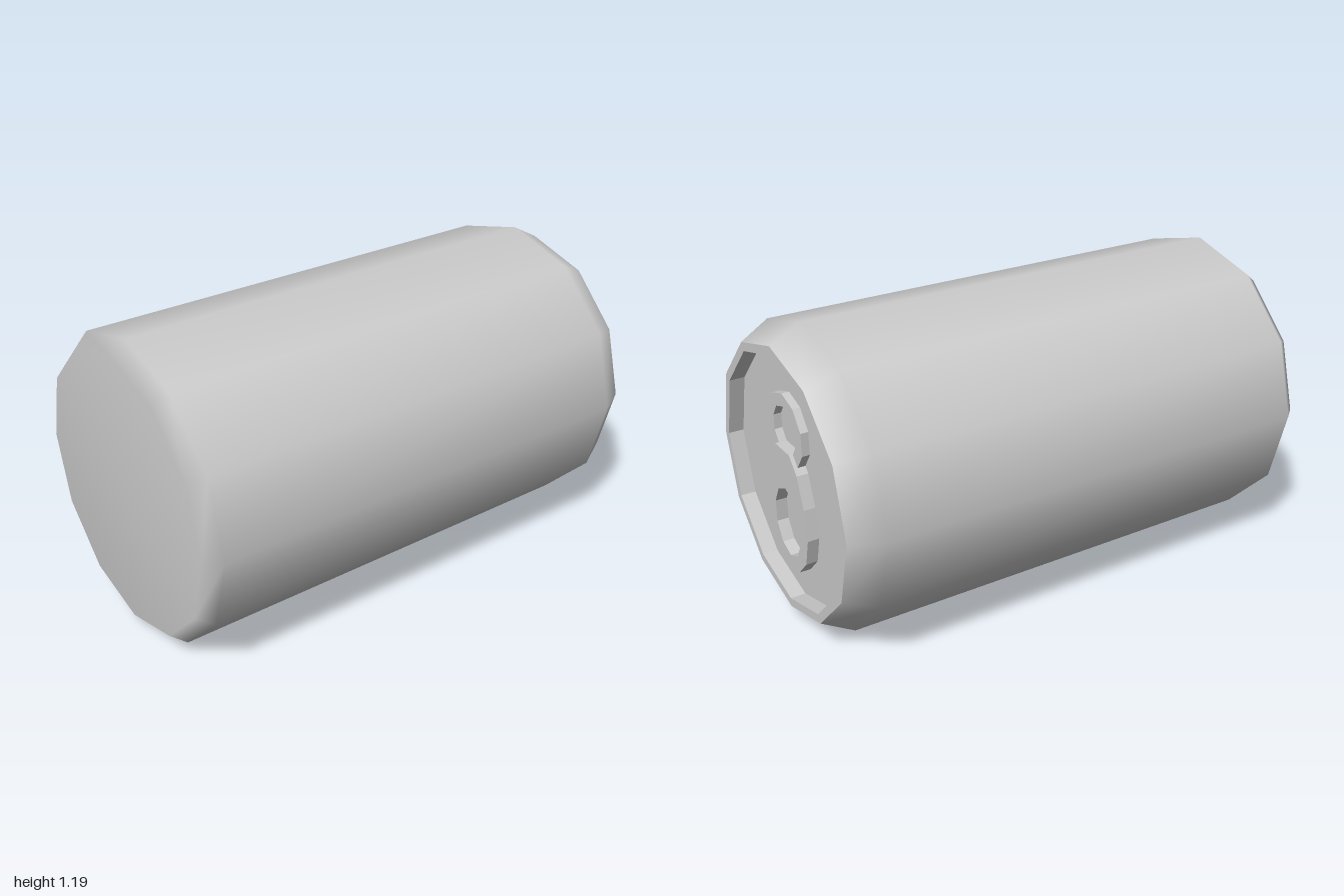
import * as THREE from 'three';

const SIDES = 12;
const FLOOR = -0.94; // z of the recessed lid panel

const smooth = new THREE.MeshStandardMaterial({ color: 0xcccccc });
const flat = new THREE.MeshStandardMaterial({ color: 0xcccccc, flatShading: true });

// Revolves [radius, z] points around the z axis
function revolve(name, profile, material) {
  const geometry = new THREE.LatheGeometry(profile.map(([r, z]) => new THREE.Vector2(r, z)), SIDES);
  geometry.rotateX(Math.PI / 2);
  const mesh = new THREE.Mesh(geometry, material);
  mesh.name = name;
  return mesh;
}

// Corner points of an ellipse centred at (0, y)
function ellipse(y, rx, ry, sides) {
  return Array.from({ length: sides }, (_, i) => {
    const a = ((i + 0.5) / sides) * Math.PI * 2;
    return new THREE.Vector2(rx * Math.cos(a), y + ry * Math.sin(a));
  });
}

// Flat plate with one hole, raised from the lid panel towards the back
function plate(name, outline, hole, height) {
  const shape = new THREE.Shape(outline);
  shape.holes.push(new THREE.Path(hole));
  const geometry = new THREE.ExtrudeGeometry(shape, { depth: height + 0.005, bevelEnabled: false });
  geometry.translate(0, 0, FLOOR - height);
  const mesh = new THREE.Mesh(geometry, flat);
  mesh.name = name;
  return mesh;
}

export function createModel() {
  const can = new THREE.Group();
  can.name = 'can';

  // Smooth wall with bevelled shoulders and closed base
  can.add(revolve('body', [[0.53, -1], [0.595, -0.88], [0.595, 0.94], [0.545, 1], [0, 1]], smooth));

  // Sunken lid panel, its wall and the rim
  can.add(revolve('lid', [[0, FLOOR], [0.495, FLOOR], [0.495, -1], [0.53, -1]], flat));

  // Pull tab: small ring under a pear-shaped plate
  const tab = new THREE.Group();
  tab.name = 'pullTab';
  tab.add(plate('tabRing', ellipse(0.2, 0.15, 0.145, 10), ellipse(0.2, 0.095, 0.095, 10), 0.03));

  const half = [[0.07, -0.35], [0.14, -0.28], [0.17, -0.17], [0.155, -0.05], [0.115, 0.07], [0.06, 0.13]];
  const mirrored = half.map(([x, y]) => [-x, y]).reverse();
  const outline = [...half, ...mirrored].map(([x, y]) => new THREE.Vector2(x, y));
  tab.add(plate('tabPlate', outline, ellipse(-0.17, 0.11, 0.14, 10), 0.045));
  can.add(tab);

  can.position.y = 0.595;
  const model = new THREE.Group();
  model.add(can);
  return model;
}
